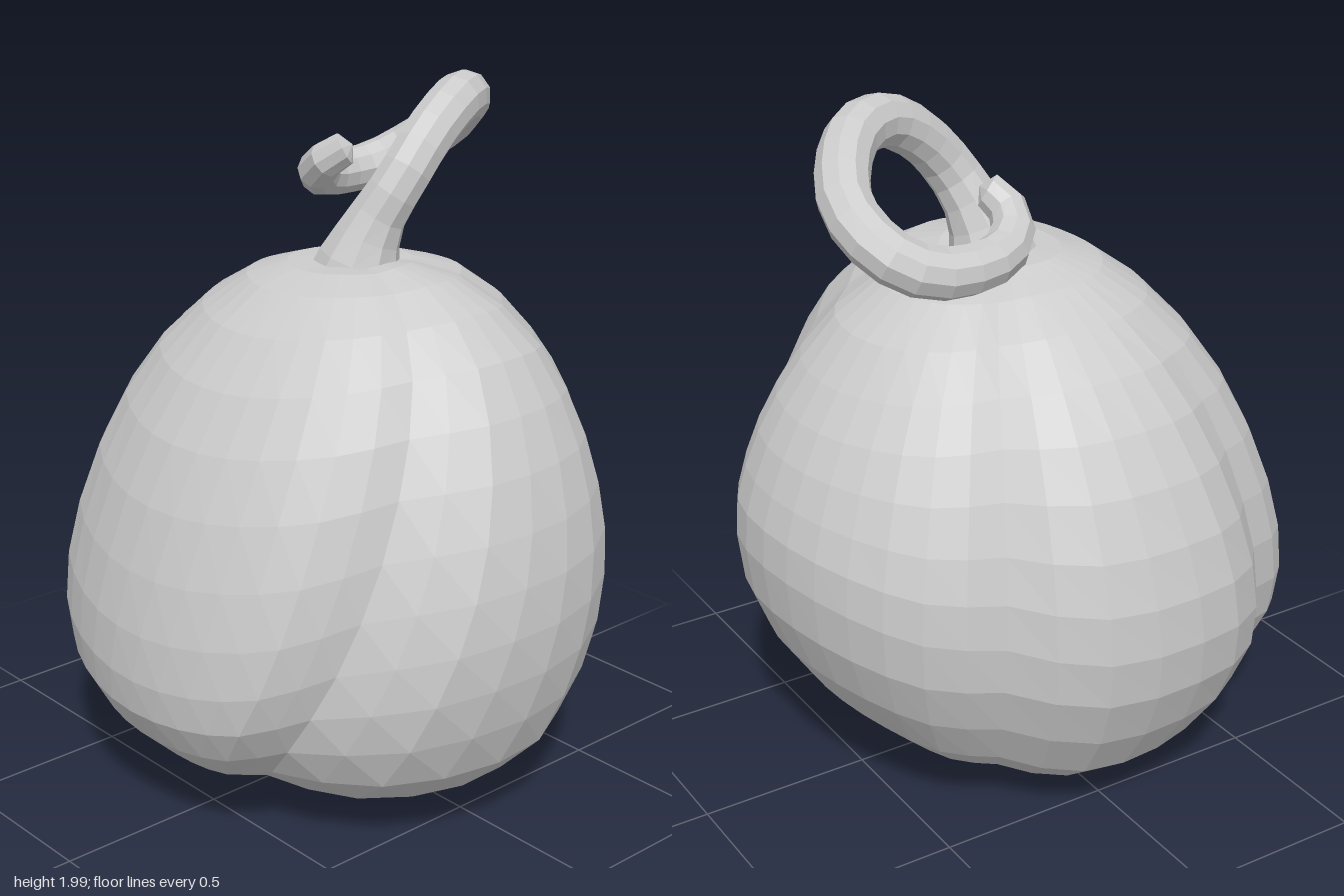
import * as THREE from 'three';
import { ParametricGeometry } from 'three/addons/geometries/ParametricGeometry.js';

const material = new THREE.MeshStandardMaterial({ color: 0xcccccc, flatShading: true });

// Side profiles (radius, height) from crown to underside, towards +x, +z, -x and -z
const profiles = [
  [[0, 1.51], [.15, 1.54], [.35, 1.5], [.55, 1.36], [.68, 1.15], [.76, .92], [.79, .7], [.77, .48], [.69, .25], [.49, .09], [.25, .04], [0, .04]],
  [[0, 1.51], [.12, 1.53], [.3, 1.47], [.5, 1.28], [.65, 1.04], [.75, .76], [.79, .52], [.76, .35], [.62, .2], [.42, .1], [.18, .03], [0, .04]],
  [[0, 1.51], [.12, 1.53], [.3, 1.47], [.5, 1.32], [.65, 1.12], [.76, .88], [.8, .65], [.76, .42], [.61, .17], [.41, .05], [.22, .01], [0, .04]],
  [[0, 1.51], [.15, 1.53], [.4, 1.45], [.58, 1.27], [.69, 1.11], [.76, .95], [.79, .79], [.75, .55], [.6, .3], [.4, .13], [.2, .05], [0, .04]],
].map(points => new THREE.SplineCurve(points.map(p => new THREE.Vector2(...p))));

// Grooves between the lobes: mesh column, heading in degrees down the body,
// width in columns, depth and the swelling on both sides
const columns = 40;
const grooves = [
  { column: 0, heading: t => 8 + 30 * t + 60 * t * t, width: 1.3, lip: 0, depth: () => .1 },
  { column: 13, heading: t => 158 - 32 * t, width: 1, lip: .03, depth: t => .085 * THREE.MathUtils.smoothstep(t, .1, .5) },
  { column: 20, heading: t => 212 + 40 * (t - .5) ** 2, width: 1.2, lip: 0, depth: t => .13 - .06 * t },
  { column: 32, heading: () => 308, width: 2, lip: .02, depth: () => .1 },
];

// Columns run along the grooves and spread evenly between them
function headingAt(column, t) {
  const k = grooves.findLastIndex(g => g.column <= column);
  const from = grooves[k], to = grooves[k + 1];
  const endColumn = to ? to.column : columns;
  const endHeading = to ? to.heading(t) : grooves[0].heading(t) + 360;
  const f = (column - from.column) / (endColumn - from.column);
  return THREE.MathUtils.lerp(from.heading(t), endHeading, f);
}

function grooveDepth(column, t) {
  const fade = Math.max(0, Math.sin(Math.PI * t)) ** .6;
  return grooves.reduce((sum, g) => {
    const gap = Math.abs(column - g.column);
    const off = Math.min(gap, columns - gap) / g.width;
    return sum + fade * (g.depth(t) * Math.exp(-off * off) - g.lip * Math.exp(-off * off / 9));
  }, 0);
}

// Lobed body: profiles blended around the axis, then pressed in along the grooves
function createBody() {
  const surface = (u, t, target) => {
    const column = (u % 1) * columns;
    const degrees = THREE.MathUtils.euclideanModulo(headingAt(column, t), 360);
    const k = Math.floor(degrees / 90);
    const blend = Math.sin(THREE.MathUtils.degToRad(degrees - k * 90)) ** 2;
    const p = profiles[k].getPoint(t).lerp(profiles[(k + 1) % 4].getPoint(t), blend);
    const dent = grooveDepth(column, t);
    const r = Math.max(0, p.x) * (1 - dent);
    const angle = THREE.MathUtils.degToRad(degrees);
    target.set(r * Math.cos(angle), .75 + (p.y - .75) * (1 - dent * .2), r * Math.sin(angle));
  };
  const body = new THREE.Mesh(new ParametricGeometry(surface, columns, 18), material);
  body.name = 'body';
  return body;
}

// Curled stem: a tube that flares at the base and narrows to a rounded tip
function createStem() {
  const path = new THREE.CatmullRomCurve3([
    [.01, 1.46, -.02], [.05, 1.62, -.06], [.1, 1.75, -.12], [.1, 1.86, -.22],
    [.07, 1.925, -.34], [0, 1.925, -.46], [-.1, 1.87, -.55], [-.2, 1.8, -.59],
    [-.32, 1.715, -.55], [-.375, 1.665, -.46], [-.385, 1.655, -.33], [-.35, 1.67, -.22],
    [-.28, 1.72, -.155], [-.21, 1.77, -.17], [-.16, 1.81, -.23],
  ].map(p => new THREE.Vector3(...p)));
  const rings = 26, sides = 10;
  const radiusAt = s => (s === 1 ? 0 : .073 - .03 * s ** 6 + .055 * Math.exp(-((s / .08) ** 2)));
  const geometry = new THREE.TubeGeometry(path, rings, 1, sides);
  const position = geometry.attributes.position;
  const vertex = new THREE.Vector3();
  for (let i = 0; i < position.count; i++) {
    const s = Math.floor(i / (sides + 1)) / rings;
    const axis = path.getPointAt(s);
    const centre = path.getPointAt(Math.min(s, .975));
    vertex.fromBufferAttribute(position, i).sub(axis).multiplyScalar(radiusAt(s)).add(centre);
    position.setXYZ(i, vertex.x, vertex.y, vertex.z);
  }
  geometry.computeVertexNormals();
  const stem = new THREE.Mesh(geometry, material);
  stem.name = 'stem';
  return stem;
}

export function createModel() {
  const model = new THREE.Group();
  model.name = 'pumpkin';
  model.add(createBody(), createStem());
  return model;
}
